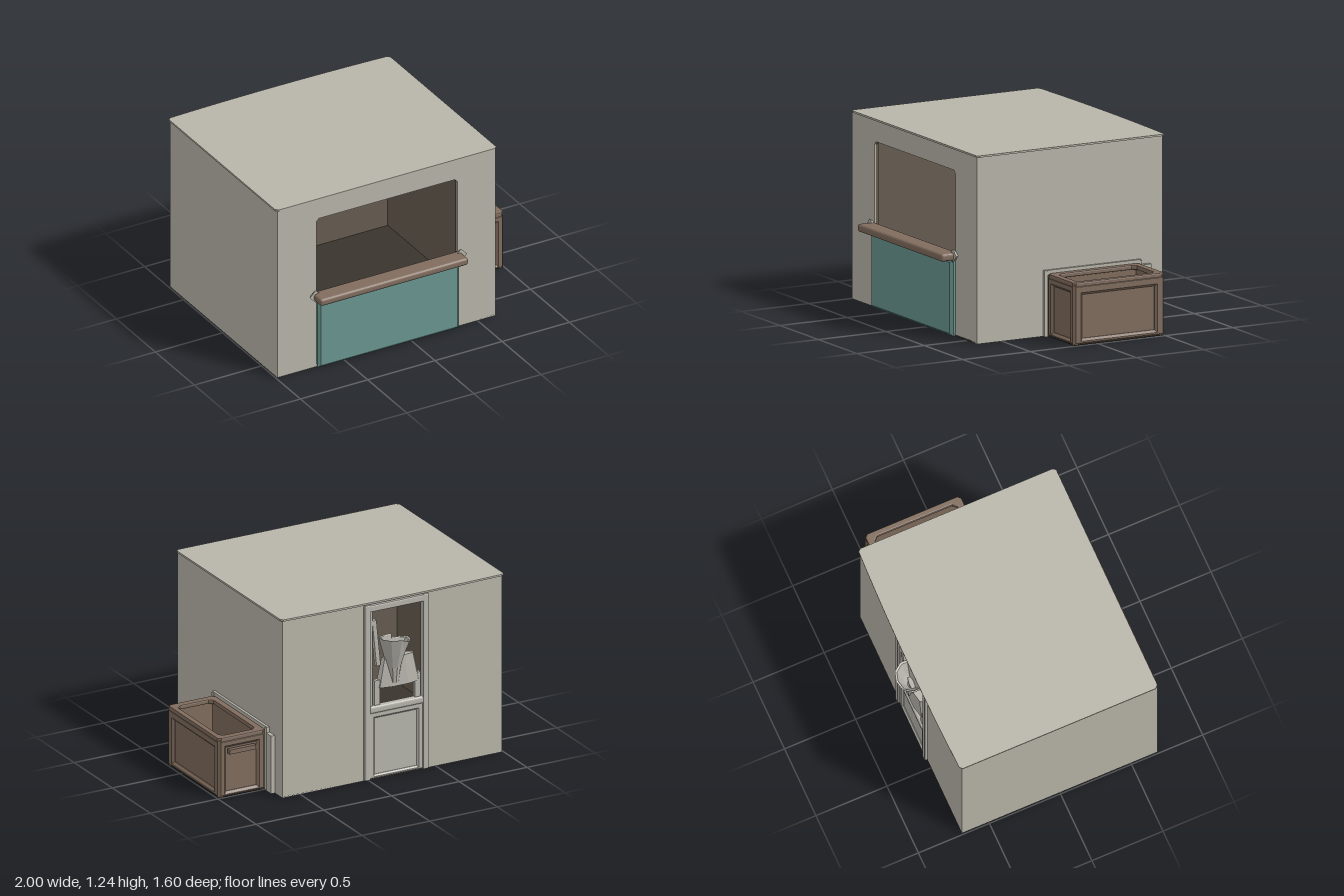
import * as THREE from 'three';
import { RoundedBoxGeometry } from 'three/addons/geometries/RoundedBoxGeometry.js';

const mat = (color) => new THREE.MeshStandardMaterial({ color, flatShading: true, side: THREE.DoubleSide });
const WALL = mat(0xb8b5a9), INNER = mat(0x665c50), WOOD = mat(0x806c5d), TEAL = mat(0x69958f),
  DARK = mat(0x3a342d), DOOR = mat(0xb6b4ac);

function add(parent, name, geometry, material, x = 0, y = 0, z = 0) {
  const m = new THREE.Mesh(geometry, material);
  m.name = name;
  m.position.set(x, y, z);
  parent.add(m);
  return m;
}

// Box given by its two extreme corners
function box(parent, name, material, x0, x1, y0, y1, z0, z1) {
  return add(parent, name, new THREE.BoxGeometry(x1 - x0, y1 - y0, z1 - z0), material,
    (x0 + x1) / 2, (y0 + y1) / 2, (z0 + z1) / 2);
}

// Outline of a rectangle with cut corners
function rect(S, x0, x1, y0, y1, c = 0) {
  const s = new S();
  const pts = c
    ? [[x0 + c, y0], [x1 - c, y0], [x1, y0 + c], [x1, y1 - c], [x1 - c, y1], [x0 + c, y1], [x0, y1 - c], [x0, y0 + c]]
    : [[x0, y0], [x1, y0], [x1, y1], [x0, y1]];
  s.setFromPoints(pts.map((p) => new THREE.Vector2(...p)));
  s.closePath();
  return s;
}

// Wall with one opening: painted outside, brown lining inside
function openWall(parent, name, opening, zOuter, zInner) {
  const mid = (zOuter * 2 + zInner) / 3;
  for (const [label, m, a, b] of [['', WALL, zOuter, mid], ['Lining', INNER, mid, zInner]]) {
    const s = rect(THREE.Shape, -0.985, 0.63, 0, 1.23);
    s.holes.push(rect(THREE.Path, ...opening));
    add(parent, name + label, new THREE.ExtrudeGeometry(s, { depth: Math.abs(a - b), bevelEnabled: false }),
      m, 0, 0, Math.min(a, b));
  }
}

// Panel with a raised, bevelled border; stands on y = 0 and faces +z
function panel(name, w, h, border, depth, material) {
  const g = new THREE.Group();
  g.name = name;
  const s = rect(THREE.Shape, -w / 2, w / 2, 0, h);
  s.holes.push(rect(THREE.Path, -w / 2 + border, w / 2 - border, border * 0.6, h - border));
  const b = depth * 0.45;
  add(g, 'border', new THREE.ExtrudeGeometry(s, {
    depth: depth - 2 * b, bevelThickness: b, bevelSize: b, bevelOffset: -b, bevelSegments: 1,
  }), material, 0, 0, b);
  box(g, 'field', material, -w / 2 + 0.004, w / 2 - 0.004, 0, h - 0.004, 0, depth * 0.35);
  return g;
}

function place(parent, obj, x, y, z, turn = 0) {
  obj.position.set(x, y, z);
  obj.rotation.y = turn;
  parent.add(obj);
}

function buildHouse() {
  const g = new THREE.Group();
  g.name = 'booth';
  openWall(g, 'frontWall', [-0.70, 0.35, 0.002, 1.09, 0.02], 0.685, 0.655);
  openWall(g, 'backWall', [-0.41, 0.0, 0.002, 1.17], -0.69, -0.665);
  for (const [name, xo, d] of [['rightWall', -0.99, 1], ['leftWall', 0.632, -1]]) {
    const mid = xo + d * 0.012, inn = xo + d * 0.018;
    box(g, name, WALL, Math.min(xo, mid), Math.max(xo, mid), 0, 1.23, -0.69, 0.685);
    box(g, name + 'Lining', INNER, Math.min(mid, inn), Math.max(mid, inn), 0.01, 1.22, -0.67, 0.66);
  }
  box(g, 'floor', DARK, -0.985, 0.63, 0, 0.012, -0.69, 0.685);
  box(g, 'ceiling', INNER, -0.97, 0.61, 1.21, 1.228, -0.67, 0.66);
  // Thin roof sheet with a slightly bowed rear edge
  const r = new THREE.Shape();
  r.moveTo(-0.98, -0.69);
  r.lineTo(0.63, -0.69);
  r.lineTo(0.645, -0.67);
  r.lineTo(0.645, 0.68);
  r.lineTo(0.63, 0.70);
  r.quadraticCurveTo(-0.17, 0.735, -0.98, 0.705);
  r.lineTo(-1, 0.69);
  r.lineTo(-1, -0.67);
  r.closePath();
  add(g, 'roof', new THREE.ExtrudeGeometry(r, { depth: 0.012, bevelEnabled: false }), WALL, 0, 1.228, 0)
    .rotation.x = -Math.PI / 2;
  return g;
}

function buildCounter() {
  const g = new THREE.Group();
  g.name = 'counter';
  place(g, panel('counterPanel', 1.05, 0.505, 0.055, 0.04, TEAL), -0.175, 0, 0.677);
  add(g, 'counterTop', new RoundedBoxGeometry(1.1, 0.052, 0.125, 2, 0.018), WOOD, -0.18, 0.528, 0.735);
  // Small wedge brackets at both ends
  for (const s of [-1, 1]) {
    const b = add(g, 'counterBracket', new THREE.CylinderGeometry(0.045, 0.02, 0.03, 4), WALL, -0.178 + s * 0.54, 0.535, 0.695);
    b.rotation.x = Math.PI / 2;
  }
  return g;
}

function buildDoor() {
  const g = new THREE.Group();
  g.name = 'backDoor';
  place(g, panel('doorPanel', 0.41, 0.47, 0.05, 0.025, DOOR), -0.205, 0, -0.672, Math.PI);
  box(g, 'doorLining', INNER, -0.41, 0, 0, 0.47, -0.672, -0.66);
  add(g, 'doorSill', new RoundedBoxGeometry(0.4, 0.05, 0.05, 2, 0.015), DOOR, -0.205, 0.485, -0.685);
  for (const x of [-0.42, 0.01]) {
    add(g, 'doorPost', new RoundedBoxGeometry(0.045, 1.22, 0.045, 1, 0.01), DOOR, x, 0.61, -0.686);
  }
  add(g, 'doorHead', new RoundedBoxGeometry(0.43, 0.05, 0.04, 1, 0.01), DOOR, -0.205, 1.19, -0.688);
  return g;
}

// Flared basin hanging in the rear window, carried by a lumpy bracket
function buildBasin() {
  const g = new THREE.Group();
  g.name = 'windowBasin';
  const bowl = new THREE.LatheGeometry([[0.0, 0.65], [0.035, 0.65], [0.05, 0.76], [0.08, 0.86], [0.112, 0.97], [0.098, 0.965],
    [0.06, 0.86], [0.03, 0.8], [0, 0.79]].map((p) => new THREE.Vector2(...p)), 10);
  const p = bowl.attributes.position;
  for (let i = 0; i < p.count; i++) {
    if (p.getZ(i) > 0) p.setZ(i, p.getZ(i) * 0.3);
    if (p.getX(i) < 0 && p.getY(i) > 0.9) p.setY(i, p.getY(i) - 0.03);
  }
  bowl.computeVertexNormals();
  add(g, 'bowl', bowl, DOOR, -0.19, 0, -0.688);
  const lump = add(g, 'bowlBase', new THREE.CylinderGeometry(0.12, 0.165, 0.2, 9), DOOR, -0.225, 0.725, -0.68);
  lump.scale.z = 0.24;
  for (const x of [-0.365, -0.065]) box(g, 'bowlLeg', DOOR, x - 0.02, x + 0.02, 0.49, 0.68, -0.695, -0.665);
  const arm = box(g, 'bowlArm', DOOR, -0.075, -0.045, 0.78, 1.1, -0.695, -0.665);
  arm.rotation.z = -0.1;
  box(g, 'hangerRail', DOOR, -0.03, 0, 0.5, 1.17, -0.695, -0.67);
  return g;
}

function buildBin() {
  const g = new THREE.Group();
  g.name = 'sideBin';
  const x0 = 0.65, x1 = 0.995, z0 = -0.5, z1 = 0.175, h = 0.4;
  const cx = (x0 + x1) / 2, cz = (z0 + z1) / 2, t = 0.035;
  place(g, panel('binFront', x1 - x0, h, 0.06, t, WOOD), cx, 0, z1 - t);
  place(g, panel('binBack', x1 - x0, h, 0.06, t, WOOD), cx, 0, z0 + t, Math.PI);
  place(g, panel('binOuterSide', z1 - z0, h, 0.07, t, WOOD), x1 - t, 0, cz, Math.PI / 2);
  box(g, 'binInnerSide', WOOD, 0.63, x0 + 0.03, 0, h, z0 + 0.01, z1 - 0.01);
  box(g, 'binFloor', DARK, 0.63, x1 - 0.01, 0, 0.012, z0 + 0.01, z1 - 0.01);
  box(g, 'binInside', INNER, x0 + 0.03, x1 - 0.03, 0.012, 0.03, z0 + 0.03, z1 - 0.03);
  // Rounded rim
  const rim = rect(THREE.Shape, x0, x1, -z1, -z0, 0.02);
  rim.holes.push(rect(THREE.Path, x0 + 0.045, x1 - 0.04, -z1 + 0.05, -z0 - 0.05, 0.025));
  add(g, 'binRim', new THREE.ExtrudeGeometry(rim, {
    depth: 0.015, bevelThickness: 0.008, bevelSize: 0.008, bevelOffset: -0.008, bevelSegments: 2,
  }), WOOD, 0, h - 0.008, 0).rotation.x = -Math.PI / 2;
  box(g, 'binLatch', WOOD, 0.73, 0.925, 0.3, 0.33, -0.52, -0.49);
  // Trim where the bin meets the wall
  for (const z of [0.185, -0.508]) box(g, 'binTrim', WALL, 0.625, 0.655, 0, 0.43, z - 0.012, z + 0.012);
  box(g, 'binTrimTop', WALL, 0.625, 0.65, 0.405, 0.435, -0.52, 0.197);
  box(g, 'wallStrip', WALL, 0.625, 0.66, 0, 0.4, -0.59, -0.525);
  return g;
}

export function createModel() {
  const model = new THREE.Group();
  model.name = 'kiosk';
  model.add(buildHouse(), buildCounter(), buildDoor(), buildBasin(), buildBin());
  return model;
}
